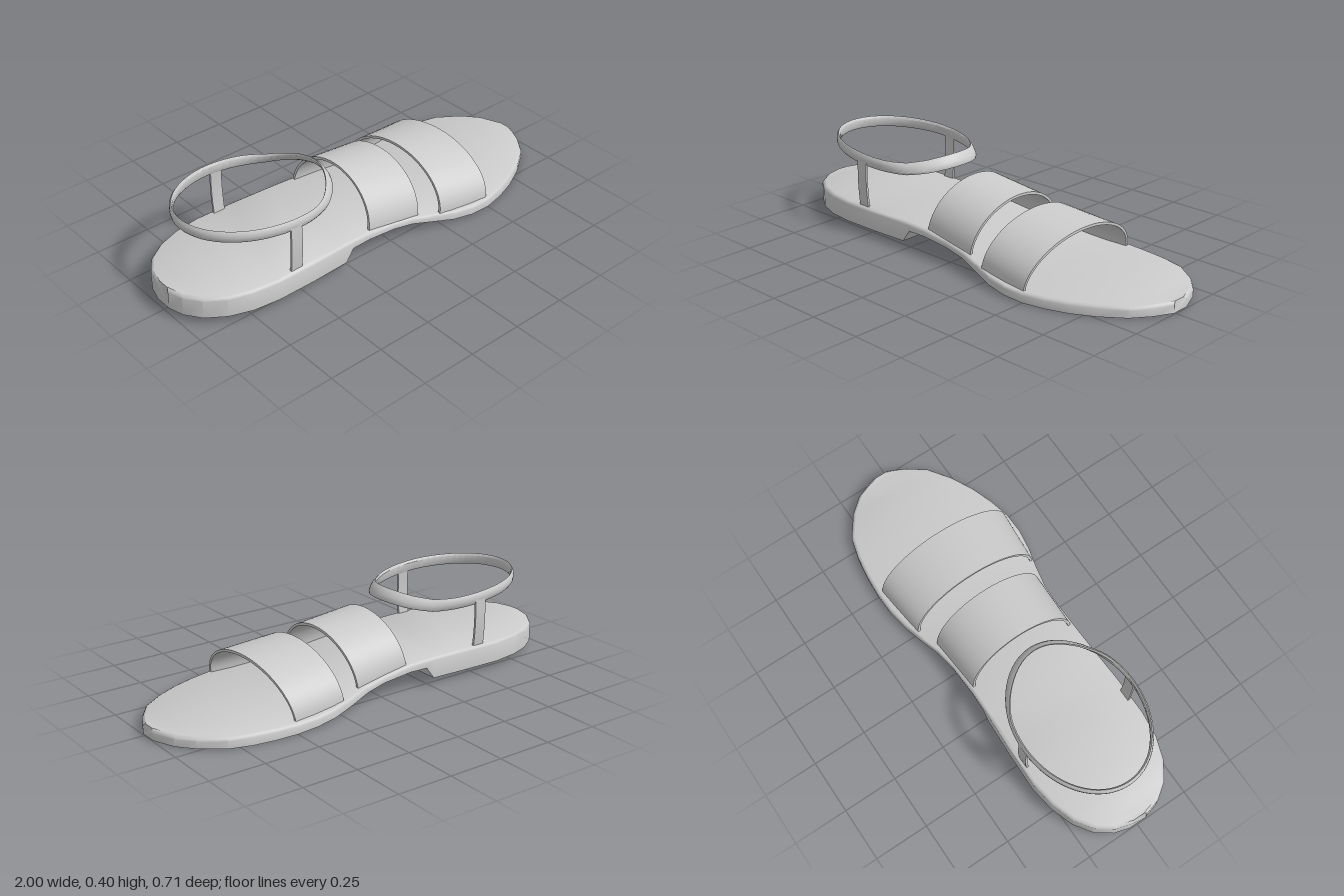
import * as THREE from 'three';
import { toCreasedNormals } from 'three/addons/utils/BufferGeometryUtils.js';

const material = new THREE.MeshStandardMaterial({ color: 0xcccccc, side: THREE.DoubleSide });

// Skin a row of equal cross-sections; capped at the ends unless it is a closed loop
function loft(name, rings, loop = false) {
  const pos = [];
  const tri = (a, b, c) => pos.push(...a, ...b, ...c);
  const n = rings[0].length;
  const spans = loop ? rings.length : rings.length - 1;
  for (let i = 0; i < spans; i++) {
    const r = rings[i], s = rings[(i + 1) % rings.length];
    for (let j = 0; j < n; j++) {
      const k = (j + 1) % n;
      tri(r[j], s[j], s[k]);
      tri(r[j], s[k], r[k]);
    }
  }
  if (!loop) {
    const first = rings[0], last = rings[rings.length - 1];
    for (let j = 1; j < n - 1; j++) {
      tri(first[0], first[j], first[j + 1]);
      tri(last[0], last[j + 1], last[j]);
    }
  }
  const geometry = new THREE.BufferGeometry();
  geometry.setAttribute('position', new THREE.Float32BufferAttribute(pos, 3));
  const mesh = new THREE.Mesh(toCreasedNormals(geometry, 0.6), material);
  mesh.name = name;
  return mesh;
}

// Piecewise linear lookup in [x, y] pairs
function lookup(table, x) {
  let i = 0;
  while (i < table.length - 2 && x > table[i + 1][0]) i++;
  const [x0, y0] = table[i], [x1, y1] = table[i + 1];
  return THREE.MathUtils.lerp(y0, y1, THREE.MathUtils.clamp((x - x0) / (x1 - x0), 0, 1));
}

// Footbed with raised heel: x, right edge, left edge, top, bottom
const soleStations = [
  [-1.00, -0.04, 0.04, 0.128, 0.03],
  [-0.98, -0.11, 0.11, 0.128, 0.03],
  [-0.93, -0.18, 0.18, 0.128, 0.03],
  [-0.85, -0.235, 0.235, 0.127, 0.03],
  [-0.75, -0.27, 0.27, 0.127, 0.03],
  [-0.63, -0.288, 0.285, 0.126, 0.03],
  [-0.45, -0.284, 0.284, 0.126, 0.03],
  [-0.27, -0.276, 0.276, 0.125, 0.03],
  [-0.23, -0.275, 0.275, 0.124, 0.085],
  [-0.14, -0.273, 0.273, 0.12, 0.086],
  [0.00, -0.277, 0.274, 0.103, 0.074],
  [0.10, -0.29, 0.282, 0.088, 0.058],
  [0.20, -0.316, 0.305, 0.07, 0.035],
  [0.30, -0.34, 0.333, 0.056, 0.016],
  [0.40, -0.355, 0.35, 0.049, 0.007],
  [0.50, -0.358, 0.348, 0.047, 0.002],
  [0.60, -0.351, 0.325, 0.047, 0],
  [0.70, -0.337, 0.29, 0.048, 0],
  [0.80, -0.31, 0.24, 0.05, 0.002],
  [0.90, -0.24, 0.17, 0.051, 0.004],
  [0.96, -0.17, 0.09, 0.051, 0.004],
  [1.00, -0.07, 0.01, 0.051, 0.004],
];

function makeSole() {
  return loft('sole', soleStations.map(([x, zr, zl, top, bottom]) => {
    const rim = 0.014, xt = x * 0.993;
    const inset = Math.min(rim, (zl - zr) * 0.2);
    const shoulder = top - rim;
    return [
      [x, bottom, zl], [x, shoulder, zl],
      [(x + xt) / 2, top - 0.005, zl - inset * 0.35], [xt, top, zl - inset],
      [xt, top, zr + inset], [(x + xt) / 2, top - 0.005, zr + inset * 0.35],
      [x, shoulder, zr], [x, bottom, zr],
    ];
  }));
}

// Arched band over the foot; back and front edges: [base x, base y, top x, top y, half width]
function makeArchStrap(name, back, front) {
  const rings = [];
  const thickness = 0.012, steps = 32;
  for (let i = 0; i <= steps; i++) {
    const t = (i / steps) * Math.PI;
    const up = Math.sin(t), side = Math.cos(t);
    const at = ([bx, by, tx, ty, w], d) => [
      THREE.MathUtils.lerp(bx, tx, up),
      by + (ty - by - d) * up,
      (w - d) * side,
    ];
    rings.push([at(front, 0), at(back, 0), at(back, thickness), at(front, thickness)]);
  }
  return loft(name, rings);
}

// Oval ankle band, dipping at the sides of its front and leaning back at the front
const ankleHeight = [[-0.9, 0.37], [-0.6, 0.353], [-0.4, 0.337], [-0.31, 0.333], [-0.23, 0.345], [-0.175, 0.36]];
const ankleSection = [[-0.009, 0.026], [-0.002, 0.016], [0, 0], [-0.002, -0.016], [-0.009, -0.026], [-0.015, -0.015], [-0.016, 0.015]];

function makeAnkleStrap() {
  const rings = [];
  const steps = 64;
  for (let i = 0; i < steps; i++) {
    const t = (i / steps) * Math.PI * 2;
    const c = Math.cos(t), s = Math.sin(t);
    const y = lookup(ankleHeight, -0.535 + 0.36 * c);
    const lean = 0.6 * THREE.MathUtils.smoothstep(c, 0.3, 1);
    rings.push(ankleSection.map(([r, h]) => {
      const d = r - lean * (h + 0.02);
      return [-0.535 + (0.362 + d) * c, y + h, (0.277 + d) * s];
    }));
  }
  return loft('ankleStrap', rings, true);
}

// Slightly bowed upright joining the sole and the ankle band
function makeUpright(name, side) {
  const rings = [];
  for (let i = 0; i <= 8; i++) {
    const u = i / 8;
    const y = 0.115 + 0.235 * u;
    const z = side * (0.264 + 0.006 * u + 0.006 * Math.sin(Math.PI * u));
    const h = 0.0275, d = 0.005, x = -0.528;
    rings.push([[x - h, y, z - d], [x - h, y, z + d], [x + h, y, z + d], [x + h, y, z - d]]);
  }
  return loft(name, rings);
}

export function createModel() {
  const sandal = new THREE.Group();
  sandal.name = 'sandal';
  sandal.add(
    makeSole(),
    makeArchStrap('instepStrap', [-0.13, 0.108, -0.098, 0.315, 0.258], [0.138, 0.075, 0.165, 0.284, 0.272]),
    makeArchStrap('toeStrap', [0.238, 0.058, 0.265, 0.258, 0.308], [0.495, 0.042, 0.525, 0.233, 0.334]),
    makeAnkleStrap(),
    makeUpright('leftUpright', 1),
    makeUpright('rightUpright', -1),
  );
  return sandal;
}
